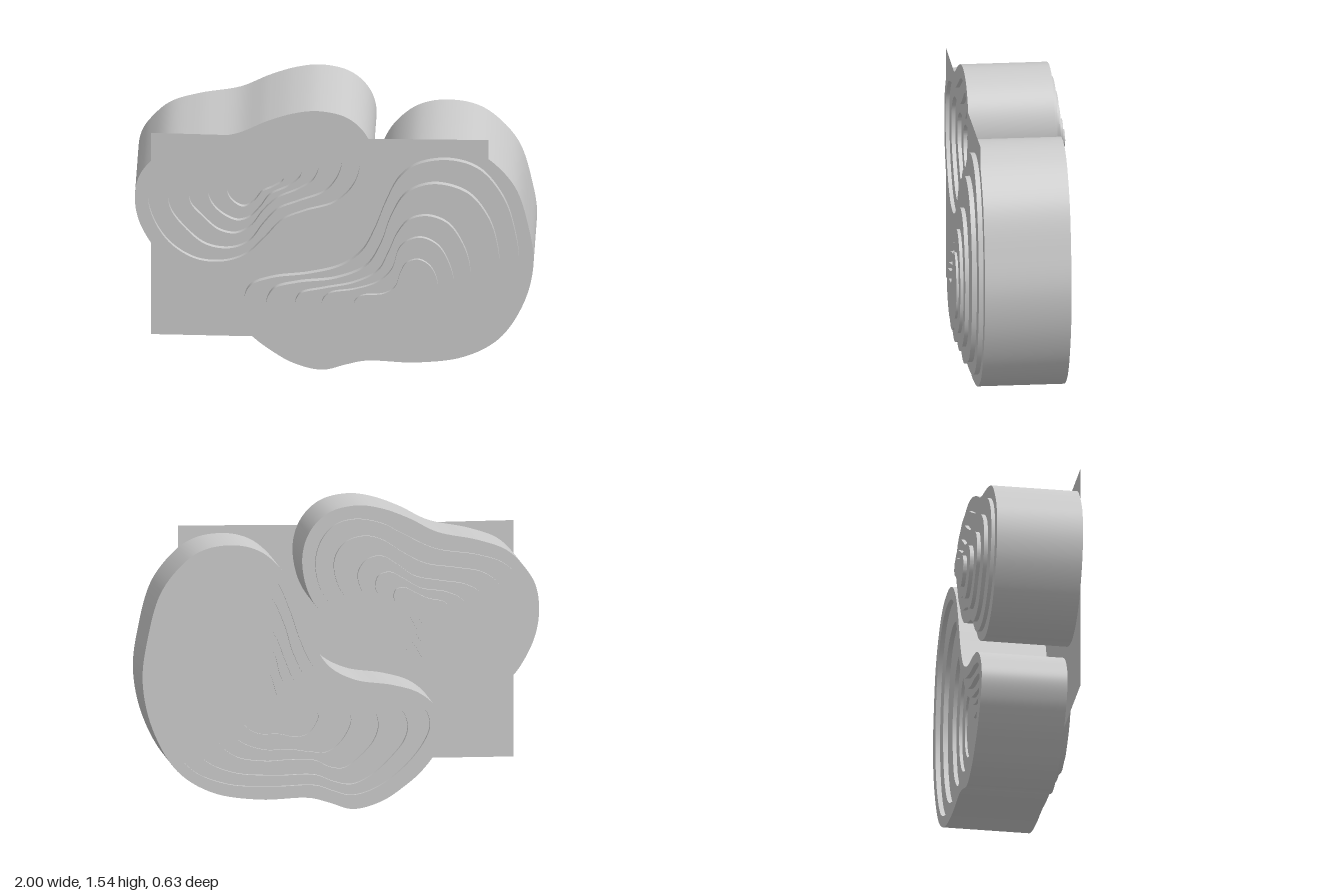
import * as THREE from 'three';
import { toCreasedNormals } from 'three/addons/utils/BufferGeometryUtils.js';

const HALF = 0.218; // half thickness of every layer
const HILL_SHIFTS = [0, 0.024, 0.048, 0.068, 0.084, 0.096]; // layers to the front
const BASIN_SHIFTS = [0, -0.019, -0.039, -0.058, -0.078, -0.097]; // layers to the back
const material = new THREE.MeshStandardMaterial({ color: 0xcccccc });
const sheetMaterial = new THREE.MeshStandardMaterial({ color: 0xcccccc, side: THREE.DoubleSide });

// Smooth closed outline through x, y pairs, clockwise
function outline(...xy) {
  const pts = [];
  for (let i = 0; i < xy.length; i += 2) pts.push(new THREE.Vector3(xy[i], xy[i + 1], 0));
  const samples = new THREE.CatmullRomCurve3(pts, true).getPoints(pts.length * 8);
  samples.pop();
  return samples.map((p) => new THREE.Vector2(p.x, p.y));
}

// Nested bands, each shifted along z: raised on one side, recessed on the other
function terrace(name, rings, shifts) {
  const group = new THREE.Group();
  group.name = name;
  rings.forEach((ring, i) => {
    const shape = new THREE.Shape(ring);
    // Holes run the opposite way so their walls face inward
    if (rings[i + 1]) shape.holes.push(new THREE.Path([...rings[i + 1]].reverse()));
    const geo = new THREE.ExtrudeGeometry(shape, { depth: HALF * 2, bevelEnabled: false });
    const mesh = new THREE.Mesh(toCreasedNormals(geo, 0.7), material);
    mesh.name = name + 'Layer' + (i + 1);
    mesh.position.z = shifts[i] - HALF;
    group.add(mesh);
  });
  return group;
}

export function createModel() {
  const model = new THREE.Group();
  model.name = 'contourRelief';

  // Large bean-shaped hill, rising to the front
  const hill = outline(
    -0.41, 0.19, -0.49, 0.3, -0.52, 0.41, -0.48, 0.51, -0.39, 0.585, -0.26, 0.625, -0.07, 0.655,
    0.06, 0.725, 0.14, 0.85, 0.195, 1, 0.275, 1.185, 0.38, 1.295, 0.47, 1.335, 0.57, 1.345,
    0.68, 1.327, 0.773, 1.275, 0.905, 1.115, 0.975, 0.875, 1, 0.66, 0.95, 0.42, 0.825, 0.205,
    0.65, 0.095, 0.41, 0.055, 0.16, 0.06, 0.06, 0.035, -0.06, 0, -0.205, 0.037, -0.325, 0.115);
  const hill2 = outline(
    -0.45, 0.42, -0.42, 0.505, -0.31, 0.555, -0.125, 0.585, 0.035, 0.635, 0.14, 0.725, 0.205, 0.86,
    0.26, 1.02, 0.33, 1.17, 0.425, 1.25, 0.585, 1.277, 0.73, 1.225, 0.85, 1.06, 0.905, 0.875,
    0.927, 0.66, 0.875, 0.395, 0.757, 0.215, 0.57, 0.135, 0.33, 0.12, 0.125, 0.122, 0.035, 0.092,
    -0.055, 0.07, -0.18, 0.107, -0.325, 0.215, -0.42, 0.335);
  const hill3 = outline(
    -0.34, 0.42, -0.3, 0.505, -0.18, 0.545, 0.01, 0.575, 0.16, 0.65, 0.235, 0.785, 0.285, 0.945,
    0.355, 1.08, 0.445, 1.137, 0.54, 1.147, 0.675, 1.095, 0.775, 0.955, 0.82, 0.795, 0.83, 0.635,
    0.79, 0.42, 0.69, 0.26, 0.54, 0.19, 0.33, 0.172, 0.125, 0.172, 0.035, 0.138, -0.055, 0.122,
    -0.15, 0.162, -0.26, 0.26, -0.325, 0.345);
  const hill4 = outline(
    -0.195, 0.42, -0.17, 0.49, -0.055, 0.525, 0.105, 0.565, 0.22, 0.635, 0.275, 0.75, 0.32, 0.865,
    0.38, 0.945, 0.47, 0.97, 0.57, 0.93, 0.64, 0.825, 0.682, 0.685, 0.677, 0.525, 0.63, 0.365,
    0.53, 0.27, 0.38, 0.242, 0.25, 0.247, 0.125, 0.242, 0.05, 0.208, -0.02, 0.202, -0.105, 0.262,
    -0.175, 0.345);
  const hill5 = outline(
    -0.06, 0.445, -0.025, 0.505, 0.105, 0.535, 0.22, 0.58, 0.29, 0.655, 0.33, 0.785, 0.38, 0.835,
    0.445, 0.85, 0.525, 0.805, 0.585, 0.685, 0.602, 0.58, 0.577, 0.445, 0.505, 0.345, 0.38, 0.297,
    0.25, 0.297, 0.14, 0.282, 0.06, 0.282, -0.015, 0.342);
  const hill6 = outline(
    0.105, 0.467, 0.14, 0.505, 0.25, 0.52, 0.307, 0.56, 0.335, 0.645, 0.365, 0.705, 0.425, 0.728,
    0.485, 0.69, 0.522, 0.595, 0.517, 0.5, 0.475, 0.42, 0.41, 0.378, 0.3, 0.373, 0.22, 0.357,
    0.157, 0.373, 0.115, 0.425);
  model.add(terrace('largeHill', [hill, hill2, hill3, hill4, hill5, hill6], HILL_SHIFTS));

  // Smaller basin, sinking to the back
  const basin = outline(
    -0.92, 1.22, -0.835, 1.3, -0.69, 1.353, -0.485, 1.397, -0.34, 1.47, -0.205, 1.52, -0.08, 1.537,
    0.06, 1.503, 0.155, 1.41, 0.195, 1.275, 0.16, 1.09, 0.06, 0.96, -0.07, 0.895, -0.205, 0.85,
    -0.31, 0.765, -0.42, 0.645, -0.525, 0.585, -0.645, 0.56, -0.765, 0.588, -0.86, 0.655,
    -0.92, 0.735, -0.98, 0.865, -1, 1, -0.98, 1.125);
  const basin2 = outline(
    -0.935, 1.01, -0.91, 1.14, -0.82, 1.235, -0.69, 1.28, -0.475, 1.315, -0.315, 1.39, -0.205, 1.447,
    -0.07, 1.47, 0.035, 1.44, 0.105, 1.355, 0.13, 1.24, 0.095, 1.1, 0, 0.995, -0.15, 0.94,
    -0.26, 0.885, -0.355, 0.77, -0.445, 0.675, -0.555, 0.632, -0.69, 0.642, -0.82, 0.73, -0.905, 0.87);
  const basin3 = outline(
    -0.835, 1.01, -0.805, 1.12, -0.715, 1.193, -0.58, 1.22, -0.42, 1.245, -0.295, 1.31, -0.205, 1.367,
    -0.115, 1.387, -0.02, 1.357, 0.035, 1.275, 0.025, 1.16, -0.045, 1.05, -0.18, 0.985, -0.285, 0.935,
    -0.355, 0.85, -0.43, 0.74, -0.525, 0.698, -0.645, 0.718, -0.755, 0.82, -0.82, 0.92);
  const basin4 = outline(
    -0.73, 1.01, -0.705, 1.088, -0.62, 1.138, -0.5, 1.158, -0.365, 1.185, -0.28, 1.243, -0.2, 1.287,
    -0.125, 1.27, -0.08, 1.2, -0.105, 1.105, -0.18, 1.045, -0.285, 0.99, -0.36, 0.91, -0.42, 0.82,
    -0.495, 0.775, -0.58, 0.793, -0.665, 0.875, -0.72, 0.945);
  const basin5 = outline(
    -0.633, 1.01, -0.605, 1.063, -0.525, 1.103, -0.395, 1.125, -0.31, 1.173, -0.24, 1.208,
    -0.18, 1.188, -0.17, 1.115, -0.23, 1.05, -0.325, 0.995, -0.375, 0.92, -0.43, 0.858,
    -0.49, 0.84, -0.565, 0.878, -0.62, 0.945);
  const basin6 = outline(
    -0.54, 1.01, -0.515, 1.053, -0.43, 1.075, -0.365, 1.105, -0.31, 1.131, -0.265, 1.118,
    -0.26, 1.07, -0.31, 1.03, -0.365, 1, -0.405, 0.945, -0.46, 0.91, -0.52, 0.95);
  model.add(terrace('smallBasin', [basin, basin2, basin3, basin4, basin5, basin6], BASIN_SHIFTS));

  // Thin base sheet level with the front faces, cut away around both forms
  const [x0, x1, y0, y1] = [-0.92, 0.773, 0.19, 1.387];
  const inside = (p) => p.x > x0 - 0.001 && p.x < x1 + 0.001 && p.y > y0 - 0.001 && p.y < y1 + 0.001;
  const upper = (p) => p.x < -0.4 && p.y > 1.1;
  const rim = basin.filter(inside);
  const corner = (x, y) => new THREE.Vector2(x, y);
  const pieces = {
    baseSheet: [corner(x0, y0), ...hill.filter(inside), corner(x1, y1), ...rim.filter((p) => !upper(p))],
    baseSheetCorner: [corner(x0, y1), ...rim.filter(upper)],
  };
  for (const [name, pts] of Object.entries(pieces)) {
    const sheet = new THREE.Mesh(new THREE.ShapeGeometry(new THREE.Shape(pts)), sheetMaterial);
    sheet.name = name;
    sheet.position.z = HALF;
    model.add(sheet);
  }
  return model;
}
